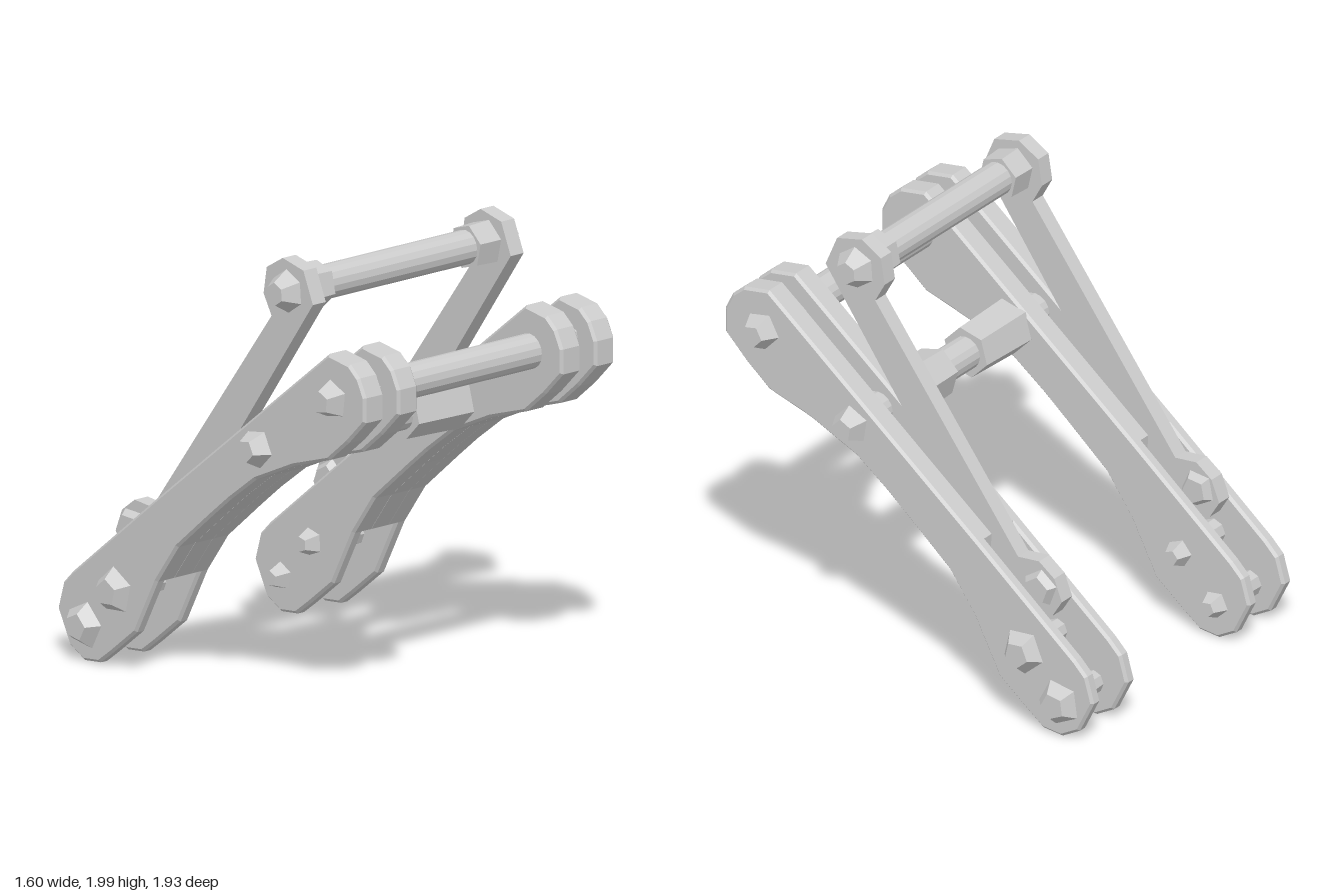
import * as THREE from 'three';

const mat = new THREE.MeshStandardMaterial({ color: 0xcccccc, flatShading: true });

// Side outlines as [z, y]
const platePts = [
  [0.97, 1.42], [0.97, 1.53], [0.93, 1.61], [0.87, 1.66], [0.74, 1.68], [-0.36, 0.805],
  [-0.87, 0.39], [-0.93, 0.33], [-0.965, 0.21], [-0.89, 0.06], [-0.8, 0.01], [-0.7, 0.02],
  [-0.62, 0.08], [-0.47, 0.2], [-0.34, 0.45], [-0.21, 0.63], [0, 0.81], [0.12, 0.91],
  [0.28, 1.03], [0.52, 1.14], [0.74, 1.21], [0.86, 1.31],
];
const padPts = [...platePts.slice(0, 6), ...platePts.slice(14)];
const lower = platePts.slice(14, 20);
const webPts = [...lower, ...lower.map(([z, y]) => [z, y + 0.11]).reverse()];
const linkPts = [
  [0.52, 1.83], [0.46, 1.97], [0.33, 2.0], [0.23, 1.94], [0.21, 1.82], [0.26, 1.73],
  [-0.49, 0.73], [-0.6, 0.74], [-0.68, 0.68], [-0.72, 0.58], [-0.67, 0.5], [-0.56, 0.46], [-0.44, 0.48],
];

export function createModel() {
  const root = new THREE.Group();

  const add = (name, geo) => {
    const mesh = new THREE.Mesh(geo, mat);
    mesh.name = name;
    root.add(mesh);
    return mesh;
  };

  // Extrude a side outline across x from a to b
  const slab = (name, pts, a, b, bevel = 0) => {
    const shape = new THREE.Shape(pts.map(([z, y]) => new THREE.Vector2(-z, y)));
    const geo = new THREE.ExtrudeGeometry(shape, {
      depth: Math.abs(b - a) - 2 * bevel, bevelEnabled: bevel > 0,
      bevelSize: bevel, bevelThickness: bevel, bevelOffset: -bevel, bevelSegments: 1,
    });
    geo.rotateY(Math.PI / 2);
    geo.translate(Math.min(a, b) + bevel, 0, 0);
    add(name, geo);
  };

  // Round or faceted bar along x, radius r0 at x0 and r1 at x1
  const bar = (name, x0, r0, x1, r1, [z, y], sides = 16, turn = 0) => {
    const geo = new THREE.CylinderGeometry(r1, r0, Math.abs(x1 - x0), sides);
    geo.rotateY(turn);
    geo.rotateZ(x1 > x0 ? -Math.PI / 2 : Math.PI / 2);
    geo.translate((x0 + x1) / 2, y, z);
    add(name, geo);
  };

  const top = [0.36, 1.86], front = [0.77, 1.485], mid = [0.3, 1.175];
  const foot = [-0.61, 0.62], rearUpper = [-0.6, 0.36], rearLower = [-0.79, 0.17];

  // Cross rods
  bar('topRod', -0.6, 0.075, 0.6, 0.075, top);
  bar('frontRod', -0.7, 0.077, 0.7, 0.077, front);
  bar('middleRod', -0.7, 0.075, 0.7, 0.075, mid);

  for (const s of [1, -1]) {
    const side = s > 0 ? 'left' : 'right';

    // Forked arm: two plates, thick towards the front, joined by a web underneath
    slab(side + 'OuterPlate', platePts, s * 0.665, s * 0.725, 0.012);
    slab(side + 'OuterPad', padPts, s * 0.61, s * 0.69, 0.012);
    slab(side + 'InnerPlate', platePts, s * 0.415, s * 0.475, 0.012);
    slab(side + 'InnerPad', padPts, s * 0.45, s * 0.53, 0.012);
    slab(side + 'Web', webPts, s * 0.52, s * 0.62);

    // Slanted link in the fork
    slab(side + 'Link', linkPts, s * 0.535, s * 0.61);

    // Nuts on the link head and foot
    bar(side + 'TopInnerNut', s * 0.535, 0.105, s * 0.42, 0.1, top, 6, 0.3);
    bar(side + 'TopOuterNut', s * 0.61, 0.095, s * 0.685, 0.05, top, 6, 0.6);
    bar(side + 'FootInnerNut', s * 0.535, 0.085, s * 0.5, 0.06, foot, 5, 0.2);
    bar(side + 'FootOuterNut', s * 0.61, 0.085, s * 0.645, 0.06, foot, 5, 0.9);

    // Front and middle rod fittings
    bar(side + 'FrontWasher', s * 0.54, 0.11, s * 0.6, 0.12, front, 6, 0.4);
    bar(side + 'FrontNut', s * 0.72, 0.09, s * 0.8, 0.05, front, 5, 0.5);
    bar(side + 'MiddleSleeve', s * 0.105, 0.115, s * 0.42, 0.125, mid, 6, 0.25);
    bar(side + 'MiddleNut', s * 0.72, 0.09, s * 0.8, 0.05, mid, 5, 1.1);

    // Rear bolts with faceted heads and tips
    [rearUpper, rearLower].forEach((p, i) => {
      const name = side + (i ? 'LowerRear' : 'UpperRear');
      bar(name + 'Bolt', s * 0.42, 0.05, s * 0.7, 0.06, p, 8);
      bar(name + 'Head', s * 0.72, 0.11, s * 0.78, 0.06, p, 5, 0.4 + i);
      bar(name + 'Tip', s * 0.42, 0.065, s * 0.35, 0.035, p, 5, 0.7 + i);
    });
  }
  return root;
}
